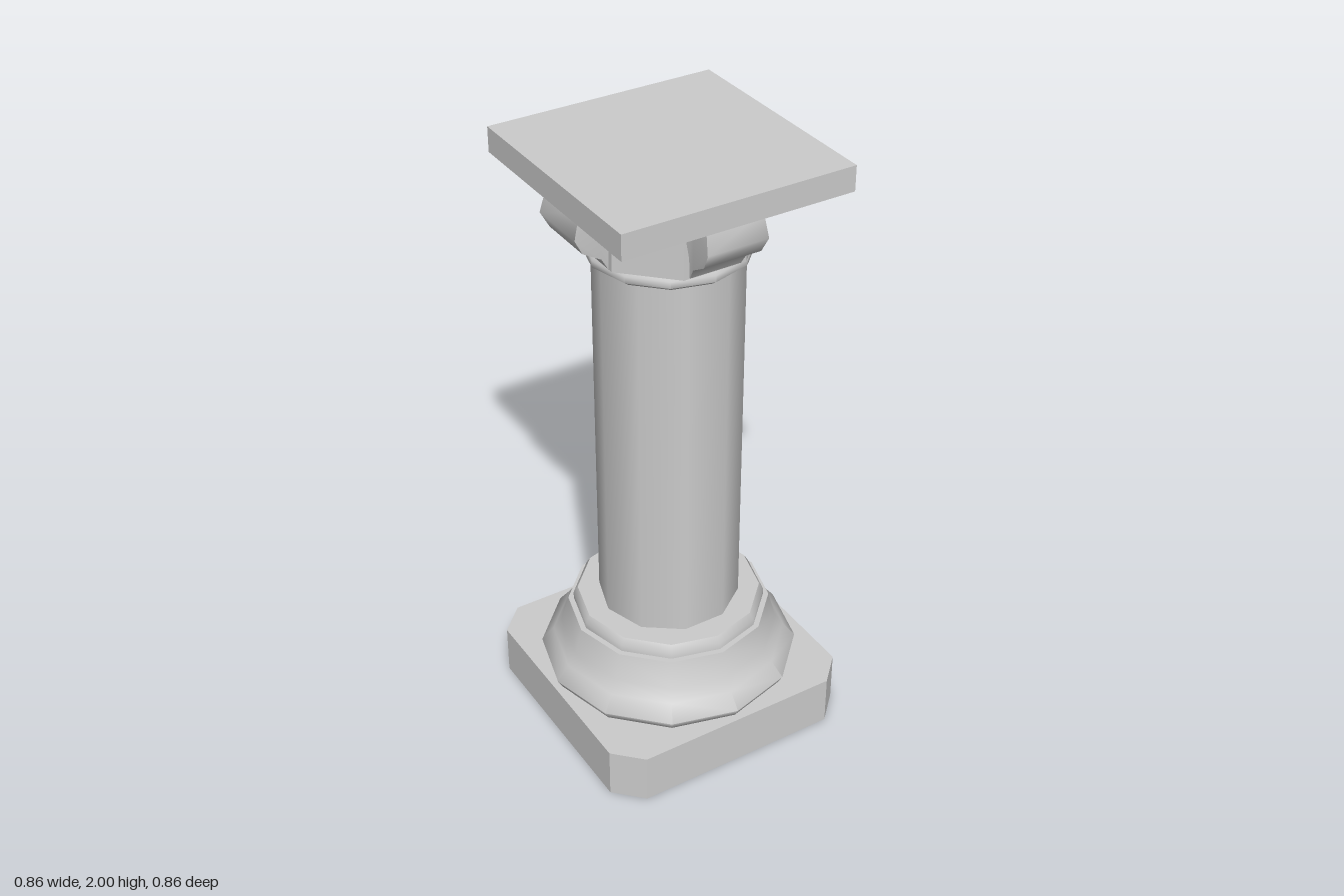
import * as THREE from 'three';
import { toCreasedNormals } from 'three/addons/utils/BufferGeometryUtils.js';

const V = (pairs) => pairs.map(([x, y]) => new THREE.Vector2(x, y));

export function createModel() {
  const group = new THREE.Group();
  const smooth = new THREE.MeshStandardMaterial({ color: 0xcccccc });
  const flat = new THREE.MeshStandardMaterial({ color: 0xcccccc, flatShading: true });

  function add(name, geometry, material = smooth) {
    const mesh = new THREE.Mesh(geometry, material);
    mesh.name = name;
    group.add(mesh);
    return mesh;
  }

  // Twelve-sided turned moulding, profile listed from bottom to top
  const turned = (name, profile, crease) =>
    add(name, toCreasedNormals(new THREE.LatheGeometry(V(profile), 12), crease));

  // Square plinth with cut corners
  const h = 0.428, c = 0.343;
  const plinth = new THREE.ExtrudeGeometry(
    new THREE.Shape(V([[h, -c], [h, c], [c, h], [-c, h], [-h, c], [-h, -c], [-c, -h], [c, -h]])),
    { depth: 0.17, bevelEnabled: false });
  add('plinth', plinth.rotateX(-Math.PI / 2), flat);

  // Flared foot and the ring on top of it
  turned('baseMoulding', [[0.1, 0.165], [0.402, 0.168], [0.42, 0.2], [0.38, 0.25],
    [0.352, 0.29], [0.328, 0.378], [0.1, 0.378]], 1.2);
  turned('baseRing', [[0.31, 0.37], [0.31, 0.4], [0.296, 0.423], [0.1, 0.423]], 0.9);

  // Ten-sided shaft, smooth shaded
  const shaft = new THREE.CylinderGeometry(0.227, 0.227, 1.3, 10, 1, true, Math.PI / 2);
  add('shaft', shaft.translate(0, 1.05, 0));

  // Neck collar
  turned('neckCollar', [[0.1, 1.668], [0.236, 1.674], [0.253, 1.687], [0.253, 1.708],
    [0.24, 1.723], [0.1, 1.723]], 1.0);

  // Octagonal capital with a sloped top, flats facing the four sides
  const R = 1 / Math.cos(Math.PI / 8);
  const bell = new THREE.LatheGeometry(
    V([[0, 1.72], [0.248 * R, 1.72], [0.248 * R, 1.858], [0.11 * R, 1.922]]), 8, Math.PI / 8);
  add('capitalBell', bell, flat);

  // Four scrolls, widest at mid height
  const scroll = new THREE.ExtrudeGeometry(
    new THREE.Shape(V([[0.236, 1.722], [0.249, 1.722], [0.272, 1.76], [0.333, 1.797],
      [0.36, 1.847], [0.34, 1.922], [0.275, 1.922], [0.249, 1.86], [0.236, 1.858]])),
    { depth: 1, bevelEnabled: false });
  const p = scroll.attributes.position;
  for (let i = 0; i < p.count; i++) {
    const w = 0.1 - 0.12 * Math.abs(p.getY(i) - 1.855);
    p.setZ(i, p.getZ(i) > 0.5 ? w : -w);
  }
  const scrollGeometry = toCreasedNormals(scroll, 0.8);
  for (let i = 0; i < 4; i++) add('capitalScroll', scrollGeometry).rotation.y = i * Math.PI / 2;

  // Square slab on top
  add('abacus', new THREE.BoxGeometry(0.746, 0.08, 0.746).translate(0, 1.96, 0), flat);

  return group;
}
